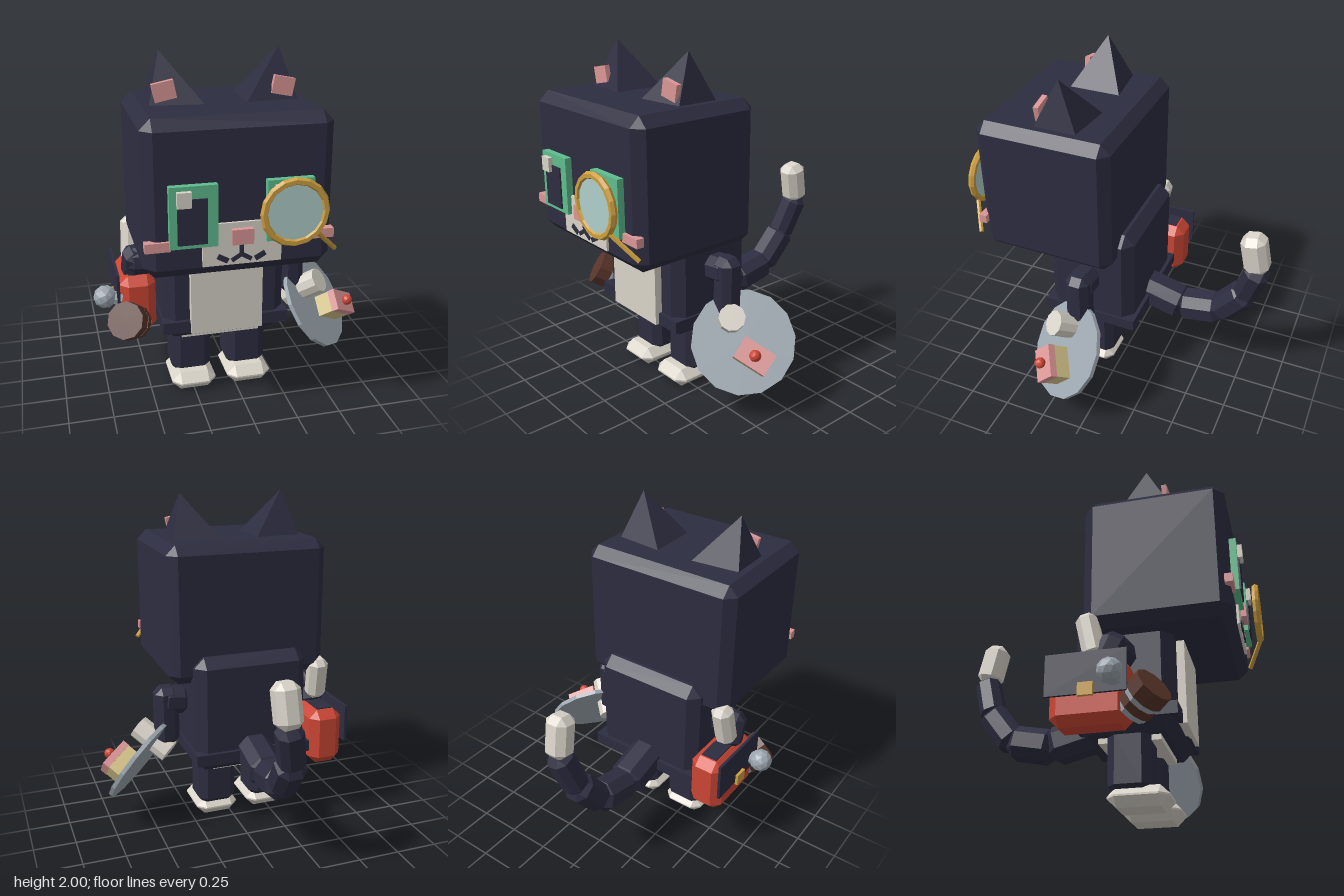
import * as THREE from 'three';
import { ConvexGeometry } from 'three/addons/geometries/ConvexGeometry.js';

const paint = (name, color) => {
  const m = new THREE.MeshStandardMaterial({ color, flatShading: true });
  m.name = name;
  return m;
};
const V = (x, y, z) => new THREE.Vector3(x, y, z);

// Box with every edge and corner cut by b
function chamferBox(w, h, d, b) {
  const pts = [];
  for (const x of [-1, 1]) for (const y of [-1, 1]) for (const z of [-1, 1]) {
    pts.push(
      V(x * w / 2, y * (h / 2 - b), z * (d / 2 - b)),
      V(x * (w / 2 - b), y * h / 2, z * (d / 2 - b)),
      V(x * (w / 2 - b), y * (h / 2 - b), z * d / 2));
  }
  return new ConvexGeometry(pts);
}

export function createModel() {
  const fur = paint('dark fur', 0x2d2d41);
  const cream = paint('cream', 0xd9d4c9);
  const green = paint('green', 0x5fbd8e);
  const pink = paint('pink', 0xdb9696);
  const gold = paint('gold', 0xcfa040);
  const red = paint('red', 0xcc4634);
  const steel = paint('steel', 0x9ca6af);
  const brown = paint('brown', 0x5a352b);
  const glass = paint('lens glass', 0xb0cfcb);
  const sponge = paint('sponge yellow', 0xd6c48a);

  const model = new THREE.Group();
  const add = (name, geo, mat, x, y, z, parent = model) => {
    const m = new THREE.Mesh(geo, mat);
    m.name = name;
    m.position.set(x, y, z);
    parent.add(m);
    return m;
  };
  const group = (name, x, y, z) => {
    const g = new THREE.Group();
    g.name = name;
    g.position.set(x, y, z);
    model.add(g);
    return g;
  };
  const box = (w, h, d) => new THREE.BoxGeometry(w, h, d);
  // Part whose local y runs from a to b
  const between = (name, geoOf, mat, a, b) => {
    const dir = b.clone().sub(a);
    const mid = a.clone().add(b).multiplyScalar(0.5);
    const m = add(name, geoOf(dir.length()), mat, mid.x, mid.y, mid.z);
    m.quaternion.setFromUnitVectors(V(0, 1, 0), dir.normalize());
    return m;
  };
  const limb = (name, mat, a, b, w, bevel) =>
    between(name, l => chamferBox(w, l, w, bevel), mat, a, b);

  // Head, with x measured from its middle
  const head = group('head', -0.09, 0, 0);
  add('skull', chamferBox(0.98, 0.82, 0.8, 0.057), fur, 0, 1.33, 0.35, head);
  for (const s of [-1, 1]) {
    const ear = new THREE.ConeGeometry(0.232, 0.32, 4).rotateY(Math.PI / 4);
    add('ear', ear, fur, s * 0.289, 1.843, 0.29, head).rotation.z = -s * 0.2;
    add('innerEar', box(0.115, 0.095, 0.03), pink, s * 0.315, 1.81, 0.402, head).rotation.z = -s * 0.2;
    add('cheek', box(0.13, 0.05, 0.045), pink, s * 0.425, 1.11, 0.745, head);
    // Eyes share the same highlight side
    const x = s * 0.247;
    add('iris', box(0.243, 0.32, 0.045), green, x, 1.262, 0.766, head);
    add('pupil', box(0.15, 0.235, 0.009), fur, x - 0.008, 1.24, 0.792, head);
    add('eyeHighlight', box(0.072, 0.08, 0.03), cream, x - 0.05, 1.36, 0.8, head);
    // Mouth curve, in two strokes
    add('mouth', box(0.055, 0.022, 0.009), fur, s * 0.028, 1.022, 0.766, head).rotation.z = -s * 0.55;
    add('mouthCorner', box(0.06, 0.028, 0.009), fur, s * 0.097, 1.022, 0.766, head).rotation.z = s * 0.5;
  }
  add('muzzle', box(0.41, 0.225, 0.03), cream, 0.005, 1.097, 0.749, head);
  add('mouthLine', box(0.022, 0.08, 0.009), fur, 0, 1.065, 0.766, head);
  add('nose', box(0.112, 0.08, 0.04), pink, 0, 1.14, 0.775, head);

  // Magnifying glass
  const magnifier = group('magnifier', 0.16, 1.268, 0.845);
  add('lensRing', new THREE.TorusGeometry(0.16, 0.021, 6, 16), gold, 0, 0, 0, magnifier);
  add('lens', new THREE.CylinderGeometry(0.15, 0.15, 0.014, 16).rotateX(Math.PI / 2), glass, 0, 0, 0, magnifier);
  between('magnifierHandle', l => new THREE.CylinderGeometry(0.014, 0.014, l, 6), gold,
    V(0.28, 1.15, 0.845), V(0.41, 1.02, 0.76));

  // Torso
  add('torso', chamferBox(0.7, 0.71, 0.54, 0.06), fur, -0.083, 0.735, 0.14);
  add('belly', box(0.41, 0.5, 0.05), cream, -0.085, 0.69, 0.43);
  add('belt', box(0.725, 0.07, 0.585), fur, -0.083, 0.475, 0.14);
  add('underside', box(0.46, 0.04, 0.34), cream, -0.09, 0.37, 0.15);

  // Legs and feet
  for (const s of [-1, 1]) {
    add('leg', chamferBox(0.235, 0.36, 0.235, 0.045), fur, -0.082 + s * 0.167, 0.25, 0.15);
    add('foot', chamferBox(0.263, 0.11, 0.33, 0.05), cream, -0.082 + s * 0.167, 0.055, 0.195);
  }

  // Tail
  const tail = [V(-0.09, 0.5, -0.08), V(-0.09, 0.43, -0.35), V(-0.08, 0.48, -0.59),
    V(-0.06, 0.67, -0.74), V(-0.01, 0.9, -0.81), V(0, 1.15, -0.76)];
  const widths = [0.205, 0.19, 0.17, 0.145, 0.145];
  widths.forEach((w, i) => {
    const tip = i === 4;
    const lap = tail[i + 1].clone().sub(tail[i]).setLength(tip ? 0 : 0.025);
    limb(tip ? 'tailTip' : 'tailSegment', tip ? cream : fur,
      tail[i].clone().sub(lap), tail[i + 1].clone().add(lap), w, w * 0.27);
  });

  // Left arm, holding the plate
  limb('leftShoulder', fur, V(0.24, 0.77, 0.145), V(0.43, 0.79, 0.145), 0.16, 0.045);
  limb('leftForearm', fur, V(0.385, 0.87, 0.145), V(0.385, 0.5, 0.145), 0.145, 0.04);
  // Right arm, raised over the bag
  limb('rightShoulder', fur, V(-0.4, 0.79, 0.145), V(-0.6, 0.78, 0.12), 0.16, 0.045);
  limb('rightForearm', fur, V(-0.54, 0.86, 0.15), V(-0.55, 0.66, 0.06), 0.15, 0.04);
  limb('rightHand', cream, V(-0.56, 0.73, 0.03), V(-0.547, 1.0, -0.03), 0.12, 0.035);

  // Plate and cake, with local y along the plate's axis
  const n = V(0.645, 0.555, 0.53).normalize();
  const side = V(0.2, -0.117, -0.12);
  side.addScaledVector(n, -side.dot(n)).normalize();
  const plate = group('plateOfCake', 0.545, 0.41, 0.165);
  plate.quaternion.setFromRotationMatrix(
    new THREE.Matrix4().makeBasis(side, n, side.clone().cross(n)));
  add('plate', new THREE.CylinderGeometry(0.295, 0.295, 0.025, 14), steel, 0, 0, 0, plate);
  const at = V(0.07, -0.074, -0.009);
  const cx = at.dot(side);
  const cz = at.dot(side.clone().cross(n));
  add('cakeSponge', box(0.19, 0.1, 0.125), sponge, cx, 0.06, cz, plate);
  add('cakeIcing', box(0.195, 0.045, 0.13), pink, cx, 0.132, cz, plate);
  add('cherry', new THREE.IcosahedronGeometry(0.033, 1), red, cx, 0.175, cz, plate);
  between('leftHand', l => new THREE.CylinderGeometry(0.075, 0.075, l, 10), cream,
    V(0.38, 0.45, 0.115), V(0.54, 0.588, 0.247));

  // Shoulder bag
  add('bag', chamferBox(0.21, 0.35, 0.42, 0.05), red, -0.548, 0.527, 0.01);
  add('bagOpening', box(0.1, 0.008, 0.3), fur, -0.548, 0.704, 0.01);
  add('bagFlap', box(0.016, 0.23, 0.43), fur, -0.662, 0.615, 0.005);
  add('bagClasp', box(0.02, 0.07, 0.08), gold, -0.677, 0.52, 0.01);

  // Steel bulb hanging on the bag
  add('bulb', new THREE.IcosahedronGeometry(0.068, 1), steel, -0.735, 0.58, 0.15);
  between('bulbStem', l => new THREE.CylinderGeometry(0.035, 0.045, l, 8), steel,
    V(-0.64, 0.56, 0.16), V(-0.72, 0.578, 0.15));

  // Small barrel in front of the bag
  const start = V(-0.648, 0.52, 0.355);
  const axis = V(0.45, -0.5, -0.74).normalize();
  const barrel = [['barrelEnd', 0.108, 0, 0.085, brown], ['barrelBand', 0.095, 0.085, 0.115, steel],
    ['barrelMiddle', 0.1, 0.115, 0.16, brown], ['barrelBand', 0.09, 0.16, 0.19, steel]];
  for (const [name, r, a, b, mat] of barrel) {
    between(name, l => new THREE.CylinderGeometry(r, r, l, 10), mat,
      start.clone().addScaledVector(axis, a), start.clone().addScaledVector(axis, b));
  }

  return model;
}
